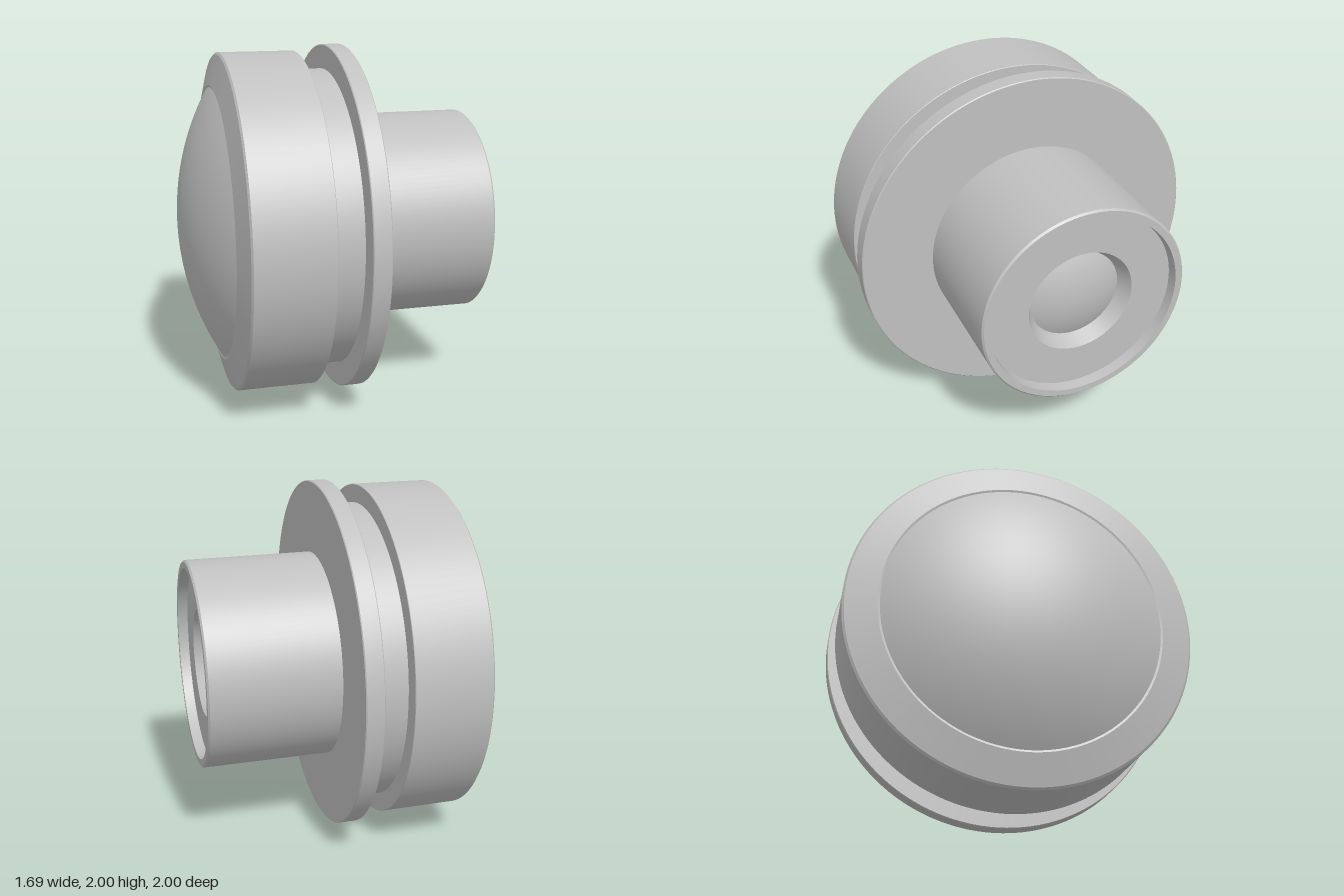
import * as THREE from 'three';
import { toCreasedNormals } from 'three/addons/utils/BufferGeometryUtils.js';

const SEGMENTS = 128;

// Points on a spherical cap as [x, radius], from the edge to the pole or back
function cap(edgeX, poleX, radius, steps = 14) {
  const sag = poleX - edgeX;
  const R = (radius * radius + sag * sag) / (2 * Math.abs(sag));
  const centre = poleX - Math.sign(sag) * R;
  const maxAngle = Math.asin(radius / R);
  const points = [];
  for (let i = 0; i <= steps; i++) {
    const a = maxAngle * (1 - i / steps);
    points.push([centre + Math.sign(sag) * R * Math.cos(a), i === steps ? 0 : R * Math.sin(a)]);
  }
  return points;
}

export function createModel() {
  const group = new THREE.Group();
  const grey = new THREE.MeshStandardMaterial({ color: 0xc0c0c0 });
  grey.name = 'grey';

  // Turned part: profile of [x, radius] running towards +x on the outside
  function turned(name, profile) {
    const lathe = new THREE.LatheGeometry(profile.map(([x, r]) => new THREE.Vector2(r, x)), SEGMENTS);
    const mesh = new THREE.Mesh(toCreasedNormals(lathe, 0.3), grey);
    mesh.name = name;
    mesh.rotation.z = -Math.PI / 2;
    mesh.position.y = 1;
    group.add(mesh);
  }

  // Large domed front element
  turned('frontLens', cap(-0.64, -0.85, 0.775, 28).reverse());

  // Wide housing with a sloped front ring
  turned('housing', [
    [-0.64, 0.77], [-0.645, 0.785], [-0.6, 0.955], [-0.59, 0.967],
    [-0.163, 0.967], [-0.16, 0.964], [-0.16, 0.85],
  ]);

  // Recessed neck between housing and flange
  turned('neck', [[-0.17, 0.862], [0.02, 0.862]]);

  // Mounting flange
  turned('flange', [
    [0.01, 0.85], [0.01, 0.995], [0.015, 1], [0.108, 1], [0.113, 0.995], [0.113, 0.58],
  ]);

  // Rear barrel with a thin rim, recessed end plate and countersunk opening
  turned('barrel', [
    [0.11, 0.592], [0.833, 0.592], [0.843, 0.582], [0.843, 0.545],
    [0.785, 0.538], [0.785, 0.305], [0.7, 0.262],
  ]);

  // Small domed rear element
  turned('rearLens', cap(0.7, 0.76, 0.264));

  return group;
}
